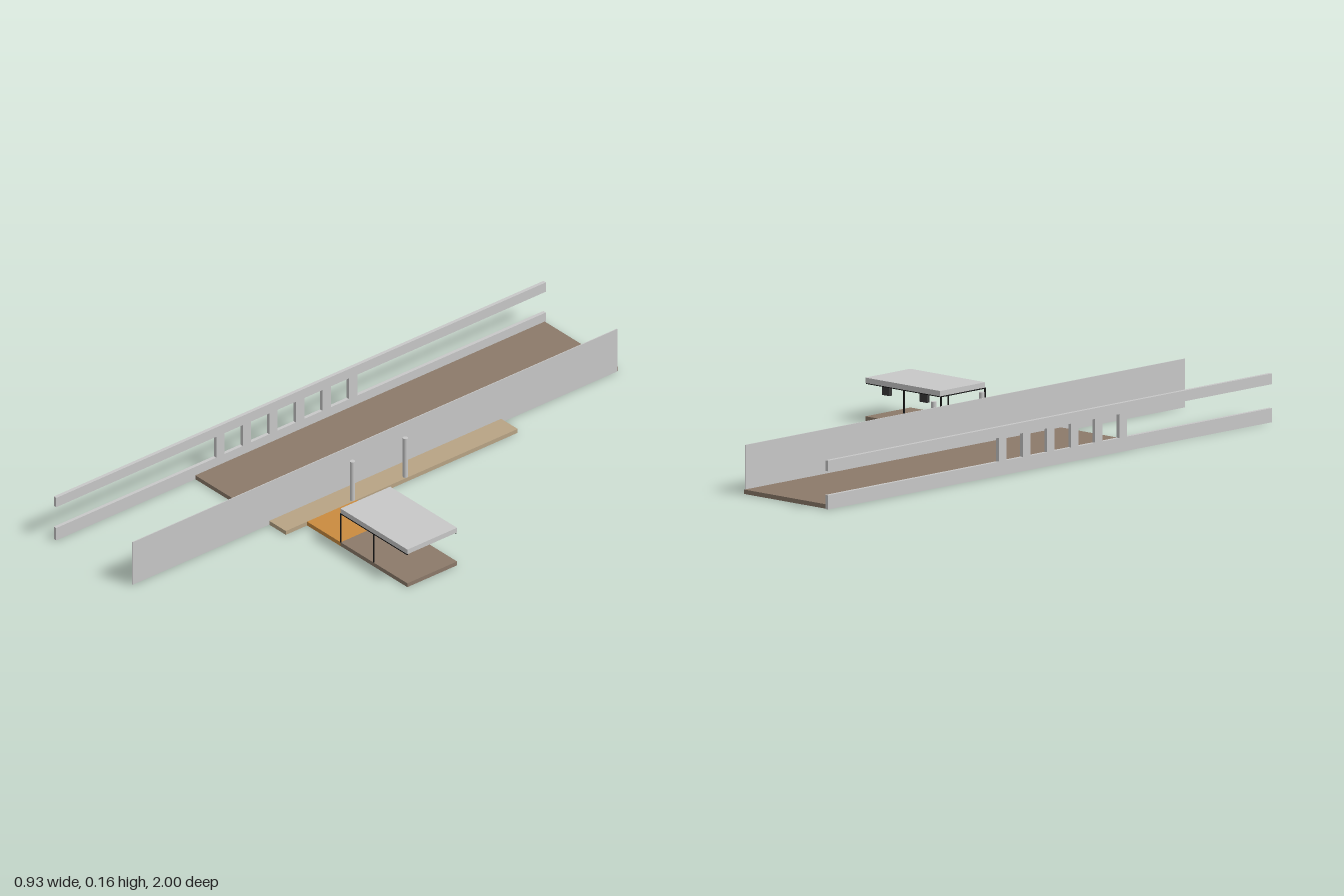
import * as THREE from 'three';

const material = (name, color) => {
  const m = new THREE.MeshStandardMaterial({ color });
  m.name = name;
  return m;
};

export function createModel() {
  const model = new THREE.Group();
  const concrete = material('pale grey', 0xc8c8c8);
  const road = material('brown paving', 0x8c7a6a);
  const kerb = material('tan paving', 0xb8a485);
  const crossing = material('orange paving', 0xca8b3f);
  const steel = material('black steel', 0x151515);
  const panel = material('charcoal', 0x383838);

  // Box given by its min and max on each axis
  const box = (name, mat, [x0, x1], [y0, y1], [z0, z1], parent = model) => {
    const mesh = new THREE.Mesh(new THREE.BoxGeometry(x1 - x0, y1 - y0, z1 - z0), mat);
    mesh.name = name;
    mesh.position.set((x0 + x1) / 2, (y0 + y1) / 2, (z0 + z1) / 2);
    parent.add(mesh);
  };

  // Floor slabs
  const slab = [0, 0.014];
  const bay = [0.142, 0.345];
  box('mainFloor', road, [-0.455, -0.1], slab, [-0.995, 0.432]);
  box('sidePlatform', kerb, [-0.1, -0.018], slab, [-0.515, 0.432]);
  box('linkFloor', crossing, [-0.018, 0.144], slab, bay);
  box('shelterFloor', road, [0.144, 0.466], slab, bay);

  // Long thin wall
  box('thinWall', concrete, [-0.101, -0.098], [0, 0.155], [-0.99, 0.99]);

  // Open wall: two rails, joined by piers that leave five windows
  const openWall = new THREE.Group();
  openWall.name = 'openWall';
  model.add(openWall);
  const wallX = [-0.467, -0.455];
  box('lowerRail', concrete, wallX, [0, 0.045], [-1, 1], openWall);
  box('upperRail', concrete, wallX, [0.121, 0.155], [-1, 1], openWall);
  const pierWidth = 0.034;
  for (let i = 0; i < 6; i++) {
    const z = -0.23 + i * 0.1085;
    box('pier', concrete, wallX, [0.045, 0.121], [z, z + pierWidth], openWall);
  }

  // Round columns
  for (const z of [-0.064, 0.152]) {
    const column = new THREE.Mesh(new THREE.CylinderGeometry(0.0085, 0.0085, 0.141, 24), concrete);
    column.name = 'column';
    column.position.set(-0.027, 0.0845, z);
    model.add(column);
  }

  // Shelter: roof, posts, beams and hanging panels
  const shelter = new THREE.Group();
  shelter.name = 'shelter';
  model.add(shelter);
  box('roof', concrete, [0.143, 0.466], [0.12, 0.137], bay, shelter);
  const t = 0.002;
  for (const z of [0.145, 0.344]) {
    for (const x of [0.143, 0.302]) {
      box('post', steel, [x - t, x + t], [0.014, 0.12], [z - t, z + t], shelter);
    }
    box('longBeam', steel, [0.143, 0.465], [0.117, 0.12], [z - t, z + t], shelter);
  }
  for (const x of [0.143, 0.302]) {
    box('crossBeam', steel, [x - t, x + t], [0.117, 0.12], [0.145, 0.344], shelter);
  }
  for (const x of [0.222, 0.385]) {
    box('hangingPanel', panel, [x - 0.016, x + 0.016], [0.09, 0.12], [0.148, 0.16], shelter);
  }
  return model;
}
